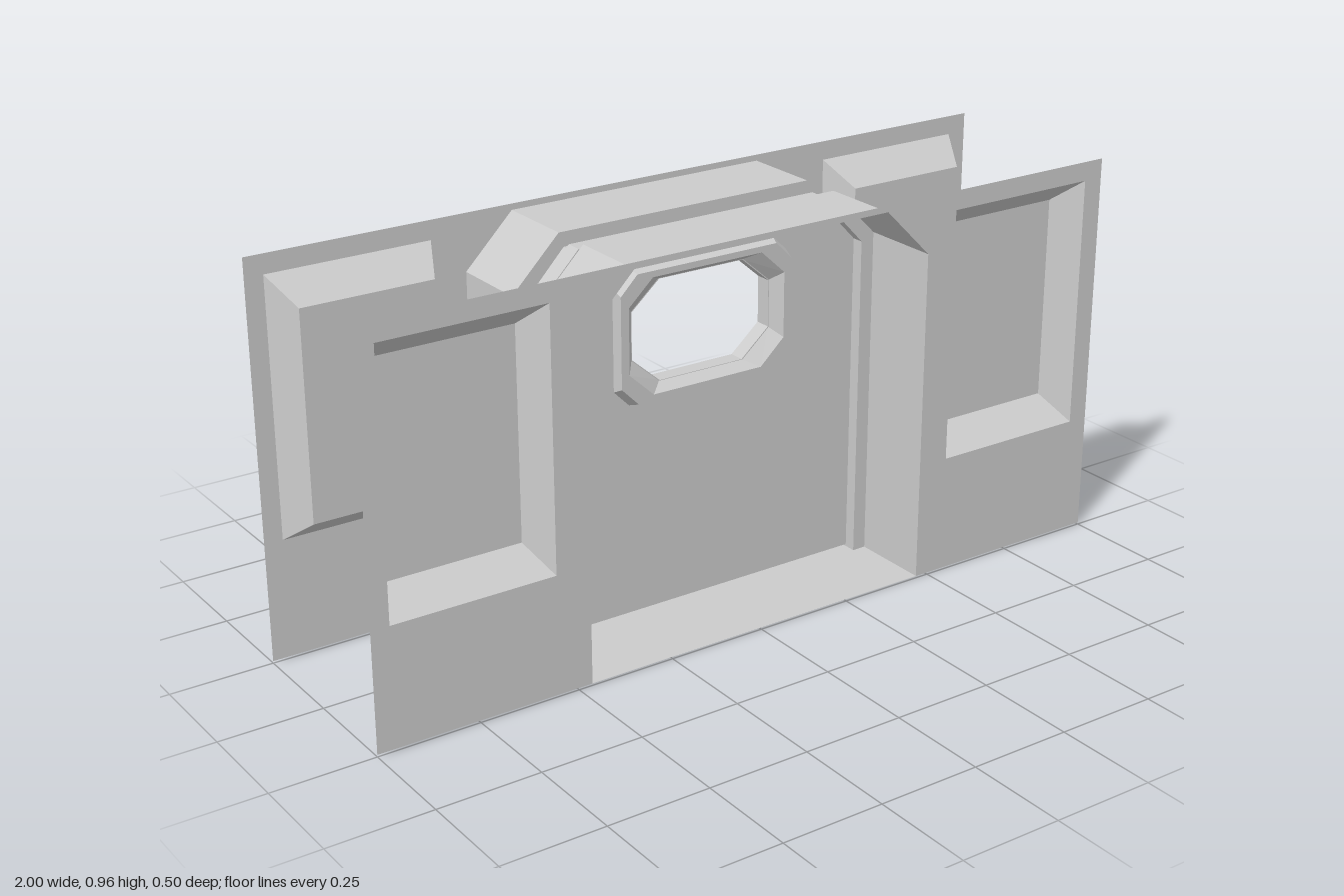
import * as THREE from 'three';

const material = new THREE.MeshStandardMaterial({ color: 0xcccccc, side: THREE.DoubleSide, flatShading: true });

// Door outline: straight jambs with chamfered top corners
const arch = (w, base, spring, topW, top) => [
  [-w, base], [-w, spring], [-topW, top], [topW, top], [w, spring], [w, base],
];

const rect = (x0, y0, x1, y1) => [[x0, y0], [x1, y0], [x1, y1], [x0, y1]];

// Rectangle with cut corners, centred on the window
const WIN_X = -0.01, WIN_Y = 0.698;
const octagon = (w, h, cx, cy) => [
  [-w + cx, -h], [w - cx, -h], [w, -h + cy], [w, h - cy],
  [w - cx, h], [-w + cx, h], [-w, h - cy], [-w, -h + cy],
].map(([x, y]) => [x + WIN_X, y + WIN_Y]);

const vectors = (pts) => pts.map(([x, y]) => new THREE.Vector2(x, y));

// Joins successive outlines [points, z] with flat quads
function loft(sections, closed = true) {
  const pos = [];
  for (let s = 0; s + 1 < sections.length; s++) {
    const [a, za] = sections[s], [b, zb] = sections[s + 1];
    const count = closed ? a.length : a.length - 1;
    for (let i = 0; i < count; i++) {
      const j = (i + 1) % a.length;
      const A = [...a[i], za], B = [...a[j], za], C = [...b[j], zb], D = [...b[i], zb];
      pos.push(...A, ...B, ...C, ...A, ...C, ...D);
    }
  }
  const g = new THREE.BufferGeometry();
  g.setAttribute('position', new THREE.Float32BufferAttribute(pos, 3));
  g.computeVertexNormals();
  return g;
}

function add(parent, name, geometry) {
  const mesh = new THREE.Mesh(geometry, material);
  mesh.name = name;
  parent.add(mesh);
  return mesh;
}

const BASE = 0.005, TOP = 0.965, FACE = 0.25, STEP = 0.05;
const doorway = arch(0.465, BASE, 0.827, 0.342, 0.95);
const innerFrame = arch(0.43, 0, 0.81, 0.33, 0.915);

// One face of the wall with its recesses, passage and window rim
function buildSide(name) {
  const side = new THREE.Group();
  side.name = name;

  // Wall sheet, cut around the doorway and the two recesses
  const wall = new THREE.Shape(vectors([
    [-1, BASE], ...doorway, [1, BASE], [1, TOP], [-1, TOP],
  ]));
  const recesses = [
    ['rightRecess', rect(-0.955, 0.295, -0.551, 0.918), rect(-0.915, 0.353, -0.588, 0.857)],
    ['leftRecess', rect(0.545, 0.295, 0.949, 0.918), rect(0.585, 0.353, 0.912, 0.857)],
  ];
  for (const [, outer] of recesses) wall.holes.push(new THREE.Path(vectors(outer)));
  add(side, 'wallFace', new THREE.ShapeGeometry(wall)).position.z = FACE;

  // Sloping recess walls and their flat backs
  for (const [label, outer, inner] of recesses) {
    add(side, label, loft([[outer, FACE], [inner, 0.17]]));
    add(side, label + 'Panel', new THREE.ShapeGeometry(new THREE.Shape(vectors(inner)))).position.z = 0.17;
  }

  // Passage lining, then the step in to the narrower door frame
  add(side, 'passage', loft([[doorway, FACE], [doorway, STEP], [innerFrame, STEP], [innerFrame, 0]], false));

  // Raised window rim, bevelled in towards the opening
  add(side, 'windowRim', loft([
    [octagon(0.24, 0.165, 0.04, 0.04), 0.018],
    [octagon(0.236, 0.155, 0.045, 0.045), 0.048],
    [octagon(0.215, 0.14, 0.065, 0.06), 0.048],
    [octagon(0.19, 0.122, 0.075, 0.065), 0.018],
  ]));
  return side;
}

export function createModel() {
  const model = new THREE.Group();
  model.name = 'doorWall';

  const front = buildSide('frontSide');
  const back = buildSide('backSide');
  back.scale.z = -1;
  model.add(front, back);

  // Sliding door slab with window opening
  const slab = new THREE.Shape(vectors(arch(0.443, 0.01, 0.82, 0.335, 0.93)));
  slab.holes.push(new THREE.Path(vectors(octagon(0.19, 0.122, 0.075, 0.065))));
  const door = new THREE.ExtrudeGeometry(slab, { depth: 0.04, bevelEnabled: false });
  add(model, 'door', door.translate(0, 0, -0.02));

  // Floor of the passage
  const floor = new THREE.PlaneGeometry(0.93, 2 * FACE).rotateX(-Math.PI / 2);
  add(model, 'floor', floor).position.y = BASE;

  // Feet closing the bottom of the frame step
  for (const s of [-1, 1]) {
    const foot = new THREE.PlaneGeometry(0.035, 2 * STEP).rotateX(Math.PI / 2);
    add(model, s > 0 ? 'leftFrameFoot' : 'rightFrameFoot', foot).position.set(s * 0.4475, 0, 0);
  }
  return model;
}
